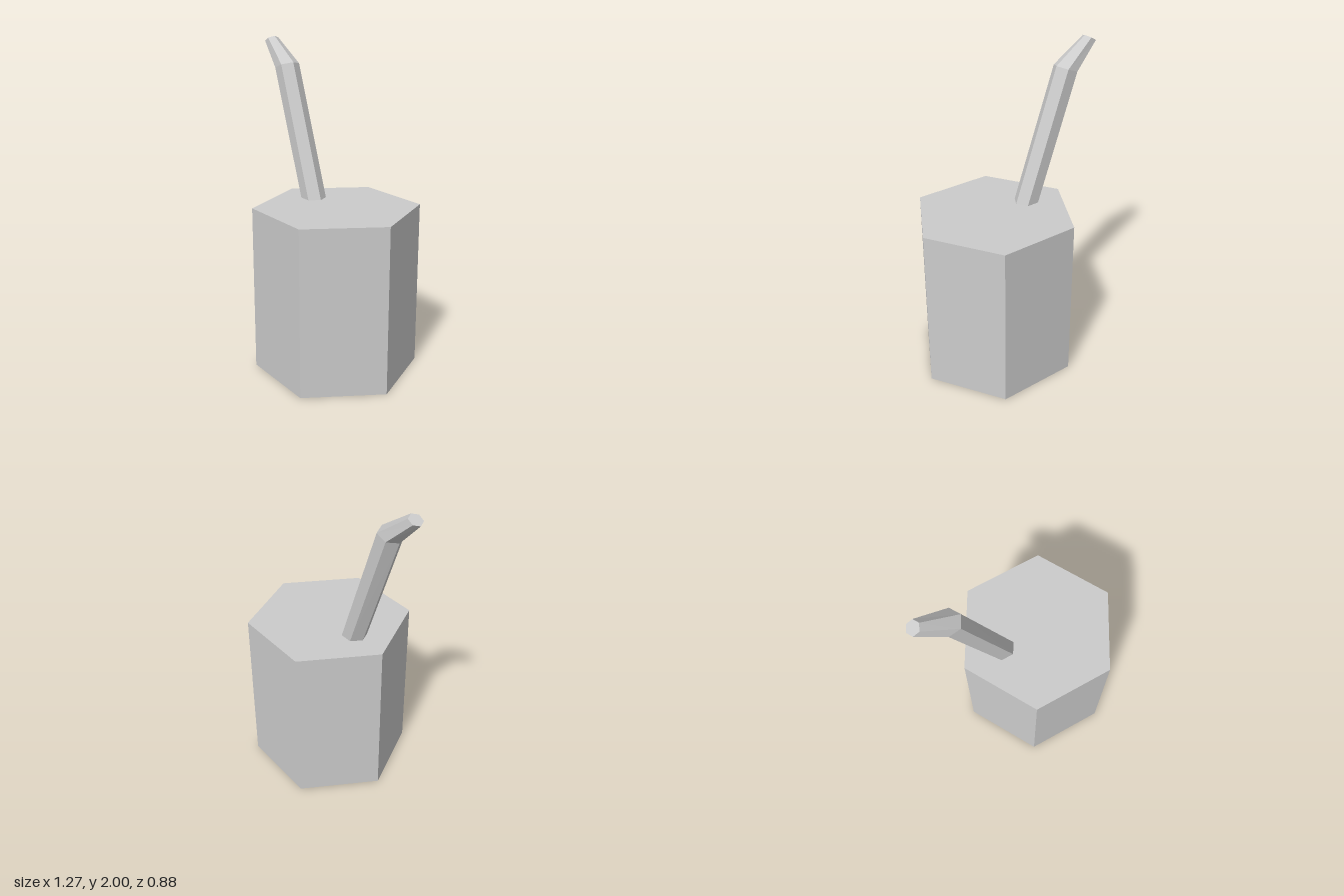
import * as THREE from 'three';

const material = new THREE.MeshStandardMaterial({ color: 0xcccccc, flatShading: true });
const SIDES = 6;

// Lofts six-sided rings; each has a centre (x, y), a half-width vector (ux, uy) and a half depth.
function loftRings(rings) {
  const positions = [];
  const index = [];
  for (const { x, y, ux, uy, depth } of rings) {
    for (let k = 0; k < SIDES; k++) {
      const a = (k / SIDES) * Math.PI * 2;
      const c = Math.cos(a);
      positions.push(x + ux * c, y + uy * c, (depth * Math.sin(a)) / Math.sin(Math.PI / 3));
    }
  }
  // Side walls
  for (let r = 0; r < rings.length - 1; r++) {
    for (let k = 0; k < SIDES; k++) {
      const a = r * SIDES + k;
      const b = r * SIDES + ((k + 1) % SIDES);
      index.push(a, a + SIDES, b, b, a + SIDES, b + SIDES);
    }
  }
  // End caps
  const top = (rings.length - 1) * SIDES;
  for (let k = 1; k < SIDES - 1; k++) {
    index.push(0, k, k + 1, top, top + k + 1, top + k);
  }
  const indexed = new THREE.BufferGeometry();
  indexed.setAttribute('position', new THREE.Float32BufferAttribute(positions, 3));
  indexed.setIndex(index);
  const geometry = indexed.toNonIndexed();
  geometry.computeVertexNormals();
  return geometry;
}

export function createModel() {
  const model = new THREE.Group();
  model.name = 'cupWithStraw';

  // Closed hexagonal cup with corners pointing left and right
  const height = 1.03;
  const cup = new THREE.Mesh(
    new THREE.CylinderGeometry(0.508, 0.508, height, SIDES, 1, false, Math.PI / 2),
    material
  );
  cup.name = 'cup';
  cup.position.set(0.125, height / 2, 0);
  model.add(cup);

  // Leaning straw with a bent, tapered mouthpiece
  const straw = new THREE.Mesh(
    loftRings([
      { x: -0.123, y: height, ux: 0.08, uy: 0, depth: 0.066 },
      { x: -0.413, y: 1.826, ux: 0.072, uy: 0.025, depth: 0.066 },
      { x: -0.595, y: 1.979, ux: 0.038, uy: 0.021, depth: 0.038 },
    ]),
    material
  );
  straw.name = 'straw';
  model.add(straw);

  return model;
}
